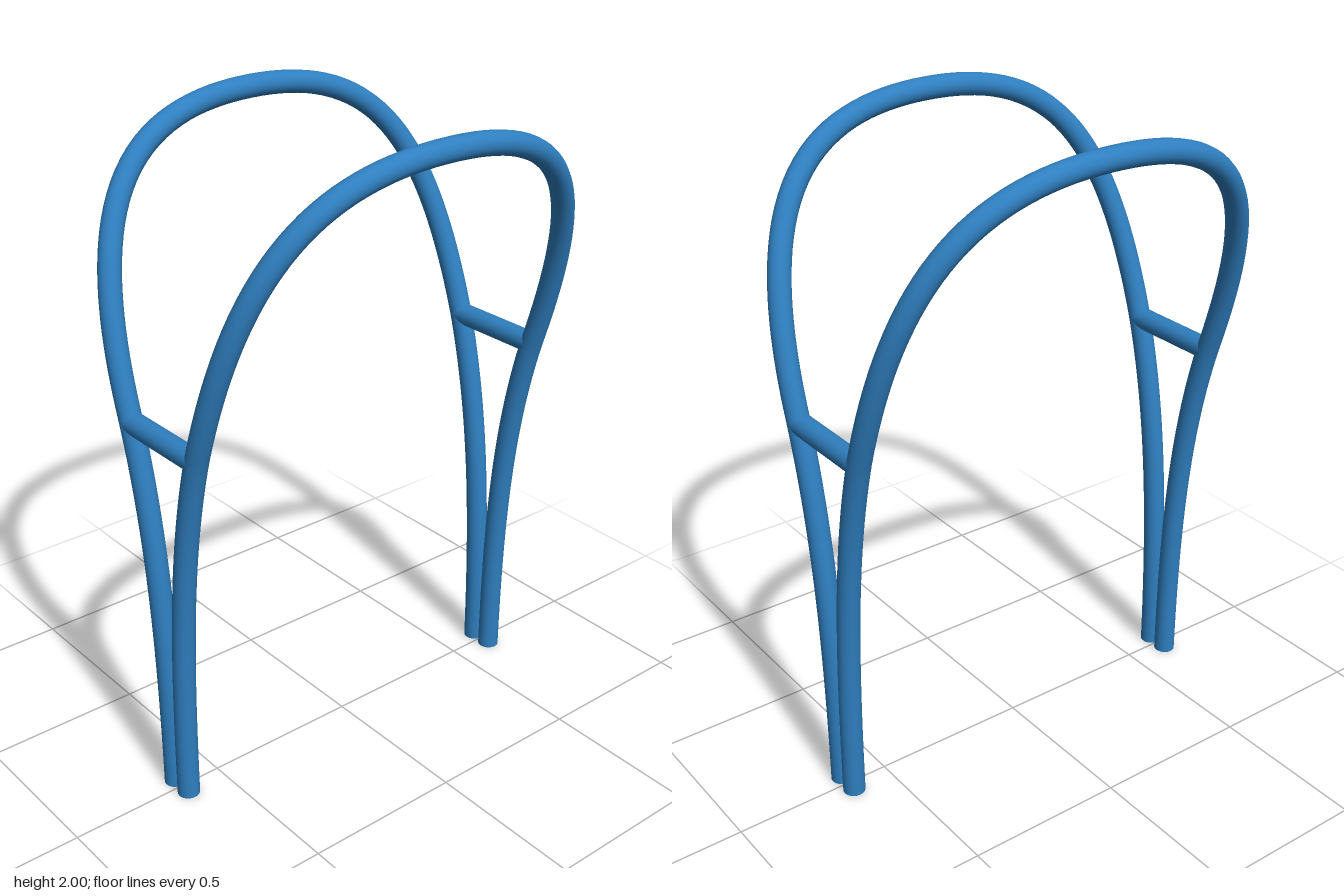
import * as THREE from 'three';

const RADIUS = 0.034;
const HALF_DEPTH = 0.63;
const JOIN_Y = 1.18;

export function createModel() {
  const model = new THREE.Group();
  model.name = 'bikeRack';
  const blue = new THREE.MeshStandardMaterial({ color: 0x2f7fc0 });
  blue.name = 'blue paint';

  const add = (name, geometry) => {
    const mesh = new THREE.Mesh(geometry, blue);
    mesh.name = name;
    model.add(mesh);
    return mesh;
  };

  for (const side of [1, -1]) {
    const v = (x, y, z) => new THREE.Vector3(side * x, y, z);

    // One leg bending outward, then an arch corner up to the middle of the top
    const leg = (s) => [v(0.035, 0, s * HALF_DEPTH), v(0.035, 0.5, s * HALF_DEPTH),
      v(0.06, 0.85, s * HALF_DEPTH), v(0.16, JOIN_Y, s * HALF_DEPTH)];
    const corner = (s) => [v(0.16, JOIN_Y, s * HALF_DEPTH), v(0.35, 1.75, s * HALF_DEPTH),
      v(0.42, 1.966, s * 0.45), v(0.42, 1.966, 0)];

    // Continuous bent hoop: front leg, arch, back leg
    const path = new THREE.CurvePath();
    for (const points of [leg(1), corner(1), corner(-1).reverse(), leg(-1).reverse()]) {
      path.add(new THREE.CubicBezierCurve3(...points));
    }
    const label = side > 0 ? 'left' : 'right';
    add(label + 'Hoop', new THREE.TubeGeometry(path, 140, RADIUS, 20, false));

    // Closed feet of the tube
    for (const s of [1, -1]) {
      const cap = new THREE.CircleGeometry(RADIUS, 20).rotateX(Math.PI / 2);
      add(label + (s > 0 ? 'FrontFoot' : 'BackFoot'), cap)
        .position.set(side * 0.035, 0, s * HALF_DEPTH);
    }
  }

  // Cross bars joining the two hoops
  for (const s of [1, -1]) {
    const bar = new THREE.CylinderGeometry(RADIUS, RADIUS, 0.32, 20).rotateZ(Math.PI / 2);
    add(s > 0 ? 'frontCrossBar' : 'backCrossBar', bar).position.set(0, 1.176, s * HALF_DEPTH);
  }

  return model;
}
